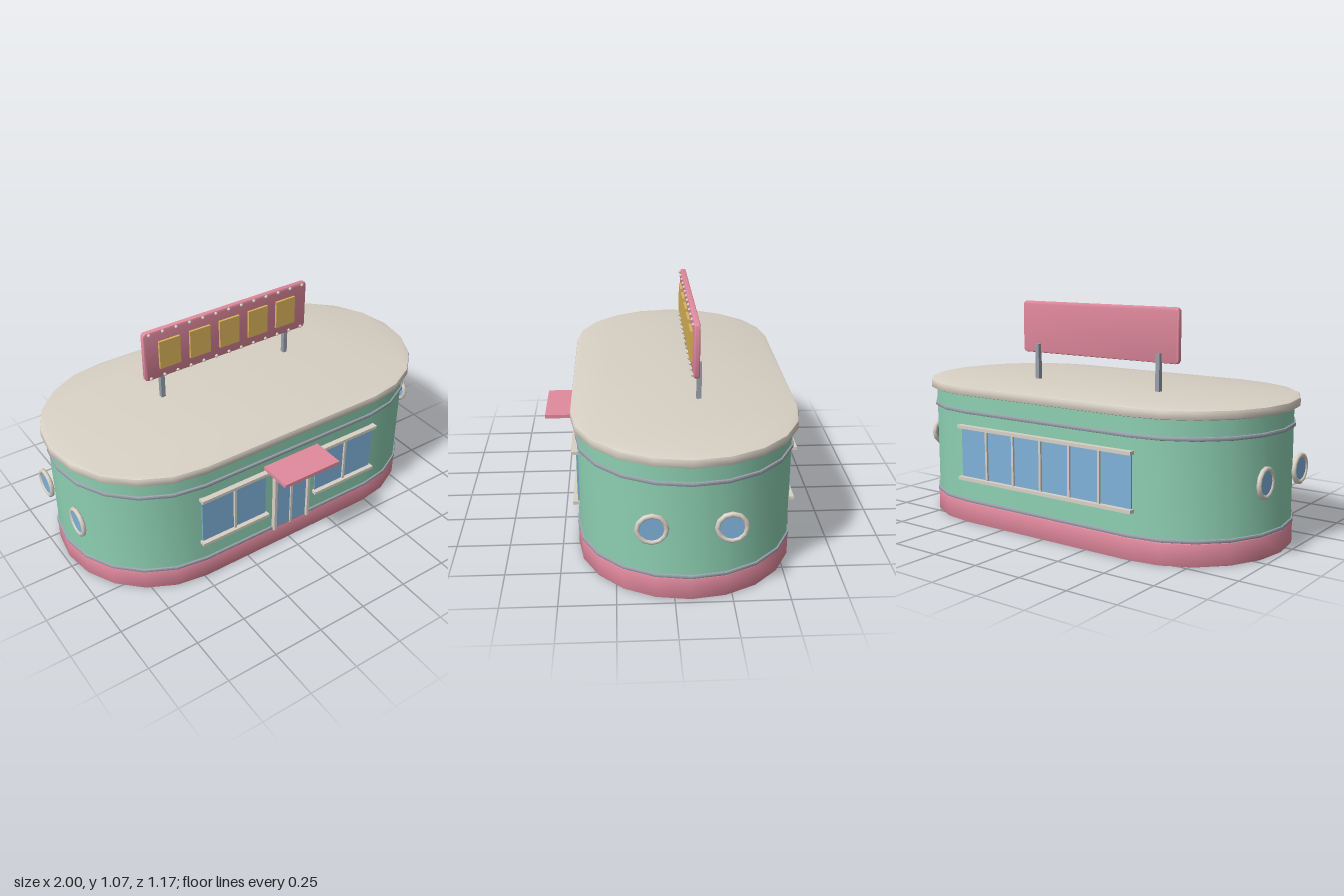
import * as THREE from 'three';
import { toCreasedNormals } from 'three/addons/utils/BufferGeometryUtils.js';

const CZ = -0.07;          // centre line of the building
const HALF = 0.485;        // half length of the straight walls

export function createModel() {
  const root = new THREE.Group();
  root.name = 'diner';
  const mat = (name, color) => {
    const m = new THREE.MeshStandardMaterial({ color });
    m.name = name;
    return m;
  };
  const green = mat('mint green', 0x8dcfb2);
  const pink = mat('pink', 0xe28a9e);
  const cream = mat('cream', 0xd8d0c4);
  const grey = mat('steel grey', 0x98a0aa);
  const glass = mat('window blue', 0x7fb2da);
  const gold = mat('gold', 0xdab45a);

  const add = (name, geo, material, x = 0, y = 0, z = 0, parent = root) => {
    const m = new THREE.Mesh(geo, material);
    m.name = name;
    m.position.set(x, y, z);
    parent.add(m);
    return m;
  };
  // box given by its lower and upper limits
  const box = (name, material, x0, x1, y0, y1, z0, z1, parent = root) =>
    add(name, new THREE.BoxGeometry(x1 - x0, y1 - y0, z1 - z0), material,
      (x0 + x1) / 2, (y0 + y1) / 2, (z0 + z1) / 2, parent);

  // upright slab with two straight sides and half-round ends
  const stadium = (name, material, r, y0, y1, bevel) => {
    const s = new THREE.Shape();
    s.absarc(HALF, 0, r, -Math.PI / 2, Math.PI / 2, false);
    s.absarc(-HALF, 0, r, Math.PI / 2, Math.PI * 1.5, false);
    const geo = new THREE.ExtrudeGeometry(s, {
      depth: y1 - y0 - 2 * bevel, curveSegments: 5, bevelEnabled: bevel > 0,
      bevelThickness: bevel, bevelSize: bevel, bevelOffset: -bevel, bevelSegments: 2,
    });
    geo.translate(0, 0, bevel);
    geo.rotateX(-Math.PI / 2);
    add(name, toCreasedNormals(geo, 0.6), material, 0, y0, CZ);
  };
  stadium('base', pink, 0.494, 0, 0.103, 0.005);
  stadium('walls', green, 0.488, 0.01, 0.645, 0);
  stadium('lowerTrim', grey, 0.497, 0.103, 0.12, 0.005);
  stadium('upperTrim', grey, 0.497, 0.546, 0.564, 0.005);
  stadium('roof', cream, 0.515, 0.638, 0.68, 0.008);

  // strip of panes with sill, head and mullions, facing +z from the wall at z = 0
  const windowStrip = (name, x0, x1, panes) => {
    const g = new THREE.Group();
    g.name = name;
    root.add(g);
    box('windowGlass', glass, x0, x1, 0.225, 0.482, -0.004, 0.005, g);
    box('windowSill', cream, x0 - 0.01, x1 + 0.01, 0.217, 0.233, -0.004, 0.027, g);
    box('windowHead', cream, x0 - 0.01, x1 + 0.01, 0.474, 0.49, -0.004, 0.027, g);
    for (let i = 1; i < panes; i++) {
      const x = x0 + (x1 - x0) * i / panes;
      box('windowMullion', cream, x - 0.006, x + 0.006, 0.233, 0.474, -0.004, 0.015, g);
    }
    return g;
  };
  const wallFront = CZ + 0.488;
  windowStrip('frontWindowRight', -0.505, -0.15, 2).position.z = wallFront;
  windowStrip('frontWindowLeft', 0.15, 0.505, 2).position.z = wallFront;
  const back = windowStrip('backWindow', -0.505, 0.505, 6);
  back.rotation.y = Math.PI;
  back.position.z = CZ - 0.488;

  // double door with frame and awning
  const door = new THREE.Group();
  door.name = 'door';
  door.position.z = wallFront;
  root.add(door);
  box('doorGlass', glass, -0.092, 0.092, 0.105, 0.455, 0, 0.009, door);
  for (const s of [-1, 1])
    box('doorJamb', cream, s * 0.099 - 0.007, s * 0.099 + 0.007, 0.103, 0.465, 0, 0.024, door);
  box('doorLintel', cream, -0.092, 0.092, 0.451, 0.465, 0, 0.024, door);
  box('doorMullion', cream, -0.006, 0.006, 0.103, 0.451, 0, 0.016, door);
  box('awning', pink, -0.158, 0.158, 0.498, 0.516, -0.01, 0.167, door);

  // round windows at both ends
  const ringGeo = new THREE.TorusGeometry(0.0625, 0.0115, 8, 12).rotateY(Math.PI / 2);
  const paneGeo = new THREE.CylinderGeometry(0.06, 0.06, 0.008, 12).rotateZ(Math.PI / 2);
  for (const s of [-1, 1])
    for (const dz of [-0.168, 0.168]) {
      add('portholeRing', ringGeo, cream, s * 0.978, 0.353, CZ + dz);
      add('portholeGlass', paneGeo, glass, s * 0.978, 0.353, CZ + dz);
    }

  // roof sign: rounded board, panels, bulbs and posts
  const sign = new THREE.Group();
  sign.name = 'sign';
  sign.position.set(0, 0.942, -0.125);
  root.add(sign);
  const w = 0.462, h = 0.122, c = 0.012;
  const board = new THREE.Shape();
  board.absarc(w - c, -h + c, c, -Math.PI / 2, 0, false);
  board.absarc(w - c, h - c, c, 0, Math.PI / 2, false);
  board.absarc(-w + c, h - c, c, Math.PI / 2, Math.PI, false);
  board.absarc(-w + c, -h + c, c, Math.PI, Math.PI * 1.5, false);
  const boardGeo = new THREE.ExtrudeGeometry(board, {
    depth: 0.012, curveSegments: 2, bevelThickness: 0.008, bevelSize: 0.008, bevelSegments: 2,
  });
  boardGeo.translate(0, 0, -0.006);
  add('signBoard', toCreasedNormals(boardGeo, 0.6), pink, 0, 0, 0, sign);
  for (let i = -2; i <= 2; i++)
    add('signPanel', new THREE.BoxGeometry(0.114, 0.146, 0.014), gold, i * 0.168, -0.002, 0.019, sign);
  const bulbGeo = new THREE.SphereGeometry(0.0085, 8, 6);
  for (let i = 0; i < 13; i++)
    for (const y of [-0.118, 0.118])
      add('signBulb', bulbGeo, cream, -0.44 + i * 0.88 / 12, y, 0.0165, sign);
  for (const s of [-1, 1])
    box('signPost', grey, s * 0.366 - 0.011, s * 0.366 + 0.011, 0.67, 0.858, -0.156, -0.133);

  return root;
}
